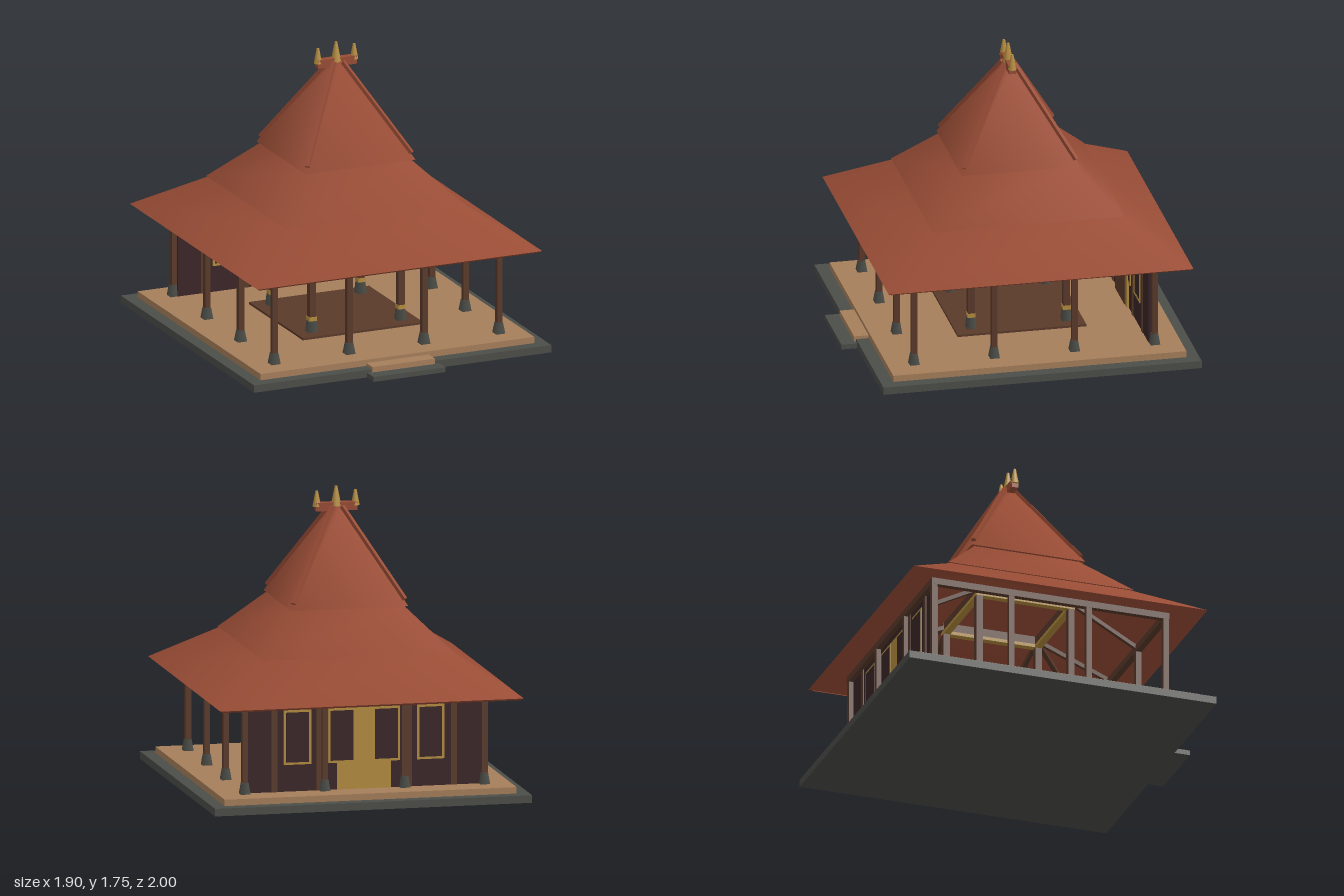
import * as THREE from 'three';

const mat = (name, color, side = THREE.FrontSide) => {
  const m = new THREE.MeshStandardMaterial({ color, side });
  m.name = name;
  return m;
};

export function createModel() {
  const stone = mat('stone', 0x4b4d48);
  const sand = mat('sandFloor', 0xa67e5a);
  const tile = mat('roofTile', 0x984c35, THREE.DoubleSide);
  const wood = mat('wood', 0x5a3a2a);
  const dark = mat('darkWall', 0x3a2426);
  const gold = mat('gold', 0xb48c3e);

  const model = new THREE.Group();
  model.name = 'pavilion';
  // everything but the steps is centred on the hall
  const hall = new THREE.Group();
  hall.name = 'hall';
  hall.position.z = -0.0475;
  model.add(hall);

  const add = (name, geo, m, x = 0, y = 0, z = 0, parent = hall) => {
    const mesh = new THREE.Mesh(geo, m);
    mesh.name = name;
    mesh.position.set(x, y, z);
    parent.add(mesh);
    return mesh;
  };
  // box given by centre x, z and its bottom and top
  const box = (name, m, w, d, y0, y1, x = 0, z = 0, parent = hall) =>
    add(name, new THREE.BoxGeometry(w, y1 - y0, d), m, x, (y0 + y1) / 2, z, parent);
  // square frustum given by half widths
  const frustum = (name, m, low, high, y0, y1, x = 0, z = 0, open = false) => {
    const r = Math.SQRT2;
    const geo = new THREE.CylinderGeometry(high * r, low * r, y1 - y0, 4, 1, open).rotateY(Math.PI / 4);
    return add(name, geo, m, x, (y0 + y1) / 2, z);
  };
  // square bar between two points
  const bar = (name, m, a, b, w, h = w) => {
    const p = new THREE.Vector3(...a), q = new THREE.Vector3(...b);
    const mesh = add(name, new THREE.BoxGeometry(w, h, p.distanceTo(q)), m);
    mesh.position.copy(p).lerp(q, 0.5);
    mesh.rotation.order = 'YXZ';
    const d = q.sub(p).normalize();
    mesh.rotation.set(-Math.asin(d.y), Math.atan2(d.x, d.z), 0);
    return mesh;
  };
  // four beams around a square
  const ring = (name, m, half, w, y0, y1) => {
    for (const s of [-1, 1]) {
      box(name, m, half * 2 + w, w, y0, y1, 0, s * half);
      box(name, m, w, half * 2 - w, y0, y1, s * half, 0);
    }
  };

  // base, floor and steps
  box('baseSlab', stone, 1.905, 1.905, 0, 0.045);
  box('floor', sand, 1.755, 1.755, 0.045, 0.083);
  box('innerPlatform', wood, 0.77, 0.77, 0.083, 0.096);
  box('lowerStep', stone, 0.46, 0.12, 0, 0.03, 0, 0.94, model);
  box('upperStep', sand, 0.4, 0.09, 0.03, 0.063, 0, 0.872, model);

  // outer posts around the edge
  const steps = [-0.72, -0.24, 0.24, 0.72];
  for (const x of steps) for (const z of steps) {
    if (Math.max(Math.abs(x), Math.abs(z)) < 0.7) continue;
    frustum('postBase', stone, 0.029, 0.019, 0.083, 0.15, x, z);
    box('outerPost', wood, 0.034, 0.034, 0.15, 0.62, x, z);
  }
  // inner columns and the bars that tie them to the outer frame
  for (const x of [-0.285, 0.285]) for (const z of [-0.285, 0.285]) {
    frustum('columnBase', stone, 0.028, 0.022, 0.096, 0.165, x, z);
    box('columnBand', gold, 0.047, 0.047, 0.165, 0.19, x, z);
    box('innerColumn', wood, 0.04, 0.04, 0.19, 0.86, x, z);
    const sx = Math.sign(x), sz = Math.sign(z);
    bar('hipRafter', wood, [sx * 0.72, 0.63, sz * 0.72], [x, 0.84, z], 0.026);
    bar('sideRafter', wood, [sx * 0.72, 0.63, sz * 0.24], [x, 0.84, z], 0.024);
    bar('sideRafter', wood, [sx * 0.24, 0.63, sz * 0.72], [x, 0.84, z], 0.024);
  }
  ring('outerBeam', wood, 0.72, 0.036, 0.605, 0.645);
  ring('innerBeam', wood, 0.285, 0.036, 0.81, 0.86);
  ring('innerBeamTrim', gold, 0.285, 0.042, 0.79, 0.81);

  // back wall with battens
  const wz = -0.698;
  box('backWall', dark, 1.41, 0.02, 0.083, 0.61, 0, wz);
  for (const x of [-0.54, -0.27, 0.27, 0.54])
    box('wallBatten', wood, 0.036, 0.03, 0.083, 0.61, x, wz);

  // window frames on both wall faces, with dark panes inside
  const frame = (name, w, h, t, depth, x, y, z) => {
    const s = new THREE.Shape();
    s.moveTo(-w / 2, 0).lineTo(w / 2, 0).lineTo(w / 2, h).lineTo(-w / 2, h).closePath();
    const p = new THREE.Path();
    p.moveTo(-w / 2 + t, t).lineTo(-w / 2 + t, h - t).lineTo(w / 2 - t, h - t).lineTo(w / 2 - t, t).closePath();
    s.holes.push(p);
    add(name, new THREE.ExtrudeGeometry(s, { depth, bevelEnabled: false }), gold, x, y, z);
  };
  for (const x of [-0.4, -0.133, 0.133, 0.4]) {
    frame('windowFrame', 0.165, 0.325, 0.014, 0.03, x, 0.242, wz - 0.014);
    box('windowPane', dark, 0.137, 0.03, 0.256, 0.553, x, wz - 0.001);
  }
  // door
  box('doorSurround', gold, 0.325, 0.034, 0.083, 0.57, 0, wz + 0.005);
  box('doorPanel', wood, 0.258, 0.008, 0.09, 0.527, 0, wz + 0.025);

  // three roof tiers, each slightly over the one below
  frustum('eaveEdge', tile, 0.893, 0.9125, 0.602, 0.615, 0, 0, true);
  frustum('lowerRoof', tile, 0.9125, 0.555, 0.615, 0.845, 0, 0, true);
  frustum('middleRoof', tile, 0.575, 0.325, 0.84, 1.092, 0, 0, true);
  frustum('upperRoof', tile, 0.352, 0.025, 1.087, 1.64, 0, 0, true);
  for (const sx of [-1, 1]) for (const sz of [-1, 1])
    bar('hipRidge', tile, [sx * 0.335, 1.126, sz * 0.335], [sx * 0.03, 1.637, sz * 0.03], 0.026, 0.02);

  // ridge beam and finials
  box('ridgeBeam', tile, 0.25, 0.042, 1.61, 1.66);
  for (const [x, r, top] of [[-0.116, 0.026, 1.73], [0, 0.032, 1.755], [0.116, 0.026, 1.73]])
    add('finial', new THREE.CylinderGeometry(0.008, r, top - 1.637, 8), gold, x, (top + 1.637) / 2, 0);

  return model;
}
